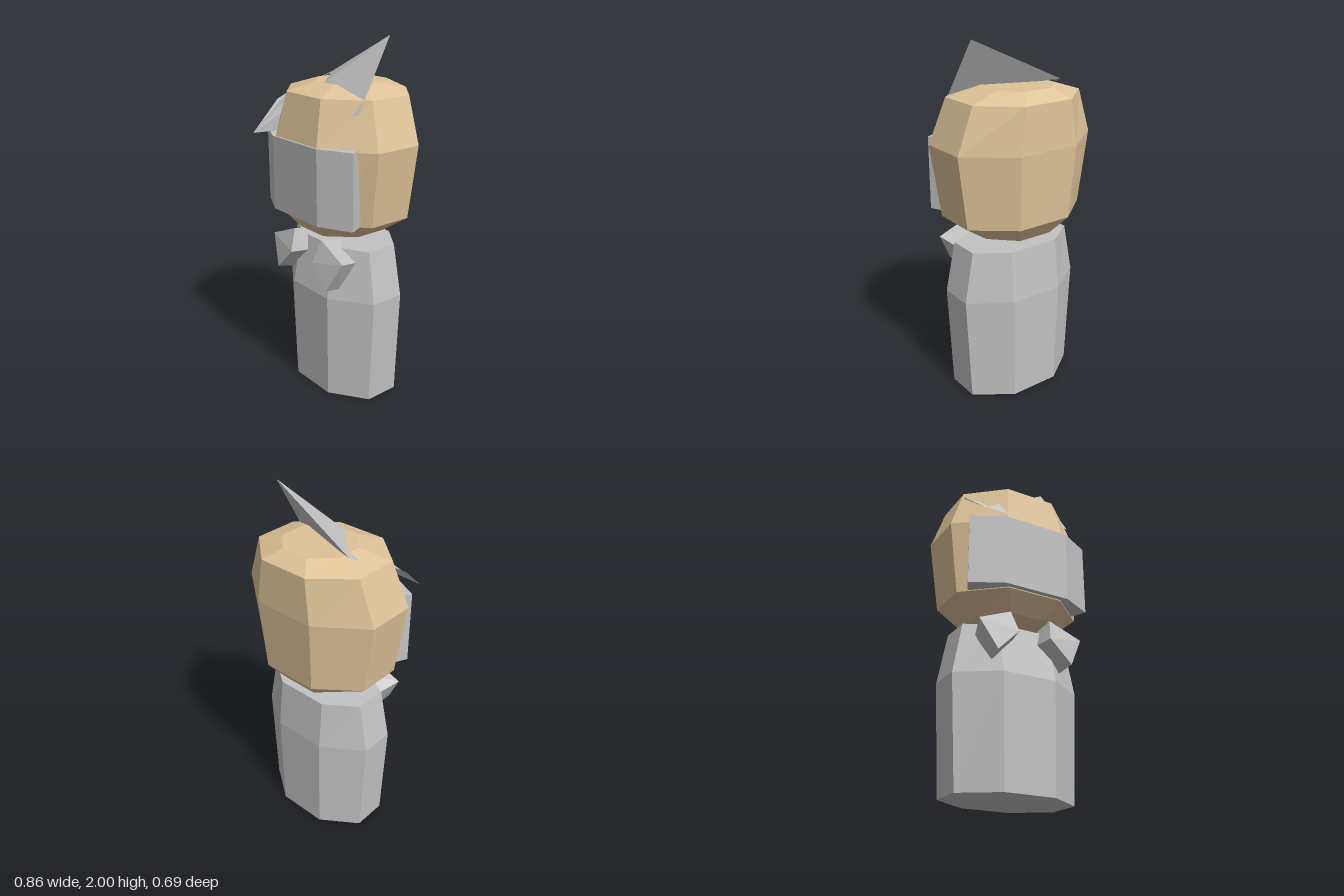
import * as THREE from 'three';
import { ConvexGeometry } from 'three/addons/geometries/ConvexGeometry.js';

// Stacks octagonal rings: [y, half width, front/back half width, front z, back z, side front z, side back z]
function octagonLoft(rings) {
  const loops = rings.map(([y, w, n, zf, zb, cf, cb]) => [
    [n, y, zf], [w, y, cf], [w, y, cb], [n, y, zb],
    [-n, y, zb], [-w, y, cb], [-w, y, cf], [-n, y, zf],
  ]);
  const tris = [];
  for (let r = 0; r + 1 < loops.length; r++) {
    for (let i = 0; i < 8; i++) {
      const j = (i + 1) % 8, lo = loops[r], hi = loops[r + 1];
      tris.push(lo[i], lo[j], hi[j], lo[i], hi[j], hi[i]);
    }
  }
  const bottom = loops[0], top = loops[loops.length - 1];
  for (let i = 1; i < 7; i++) {
    tris.push(top[0], top[i], top[i + 1], bottom[0], bottom[i + 1], bottom[i]);
  }
  return fromTriangles(tris);
}

function fromTriangles(points) {
  const g = new THREE.BufferGeometry();
  g.setAttribute('position', new THREE.Float32BufferAttribute(points.flat(), 3));
  g.computeVertexNormals();
  return g;
}

const hull = (pts) => new ConvexGeometry(pts.map((p) => new THREE.Vector3(...p)));

export function createModel() {
  const group = new THREE.Group();
  const skin = new THREE.MeshStandardMaterial({ name: 'tan', color: 0xdfc399, flatShading: true });
  const cloth = new THREE.MeshStandardMaterial({
    name: 'grey', color: 0xc2c2c2, flatShading: true, side: THREE.DoubleSide,
  });
  const add = (name, geometry, material) => {
    const mesh = new THREE.Mesh(geometry, material);
    mesh.name = name;
    group.add(mesh);
  };

  add('body', octagonLoft([
    [0, 0.345, 0.145, 0.215, -0.255, 0.08, -0.115],
    [0.605, 0.375, 0.155, 0.225, -0.26, 0.08, -0.115],
    [0.89, 0.32, 0.15, 0.16, -0.23, 0.07, -0.11],
  ]), cloth);

  add('head', octagonLoft([
    [0.95, 0.23, 0.1, 0.205, -0.24, 0.07, -0.11],
    [1.05, 0.375, 0.16, 0.285, -0.32, 0.1, -0.15],
    [1.455, 0.43, 0.178, 0.305, -0.347, 0.115, -0.16],
    [1.7, 0.342, 0.145, 0.25, -0.337, 0.08, -0.168],
    [1.75, 0.19, 0.08, 0.11, -0.25, 0.005, -0.145],
  ]), skin);

  // Face cover wrapped round the front of the head
  const outline = [[-0.19, 0.315], [0.19, 0.315], [0.37, 0.225], [0.33, 0.14],
    [0.15, 0.25], [-0.15, 0.25], [-0.33, 0.14], [-0.37, 0.225]];
  const shape = new THREE.Shape(outline.map(([x, z]) => new THREE.Vector2(x, -z)));
  const mask = new THREE.ExtrudeGeometry(shape, { depth: 0.41, bevelEnabled: false });
  mask.rotateX(-Math.PI / 2).translate(0, 1.055, 0);
  add('faceMask', mask, cloth);

  // Mirrored collar flaps
  const flap = [
    [0.12, 0.94, 0.235], [0.31, 0.86, 0.245], [0.22, 0.69, 0.285], [0.095, 0.815, 0.28],
    [0.105, 0.905, 0.085], [0.26, 0.82, 0.1], [0.205, 0.67, 0.185], [0.075, 0.81, 0.18],
  ];
  for (const [name, s] of [['leftCollar', 1], ['rightCollar', -1]]) {
    add(name, hull(flap.map(([x, y, z]) => [s * x, y, z])), cloth);
  }

  // Tall pointed tuft on the crown, with small hanging tips
  add('crownTuft', hull([
    [0.285, 2, -0.08], [-0.24, 1.76, -0.13], [0, 1.75, 0.112], [0.31, 1.7, 0.105],
  ]), cloth);
  add('crownTuftFrontTip', hull([
    [0.315, 1.71, 0.1], [0.295, 1.68, 0.115], [0.318, 1.63, 0.15], [0.285, 1.625, 0.16],
  ]), cloth);
  add('crownTuftBackTip', hull([
    [-0.24, 1.76, -0.13], [-0.19, 1.76, -0.08], [-0.235, 1.745, -0.1], [-0.265, 1.735, -0.075],
  ]), cloth);

  // Jagged tuft over the right brow, fanned from its tip
  const tip = [-0.335, 1.458, 0.345];
  const edge = [
    [-0.17, 1.495, 0.3], [-0.2, 1.58, 0.25], [-0.245, 1.57, 0.21],
    [-0.285, 1.63, 0.15], [-0.345, 1.655, 0.1], [-0.37, 1.62, 0.155],
  ];
  const fan = [];
  for (let i = 0; i + 1 < edge.length; i++) fan.push(tip, edge[i], edge[i + 1]);
  add('browTuft', fromTriangles(fan), cloth);

  return group;
}
